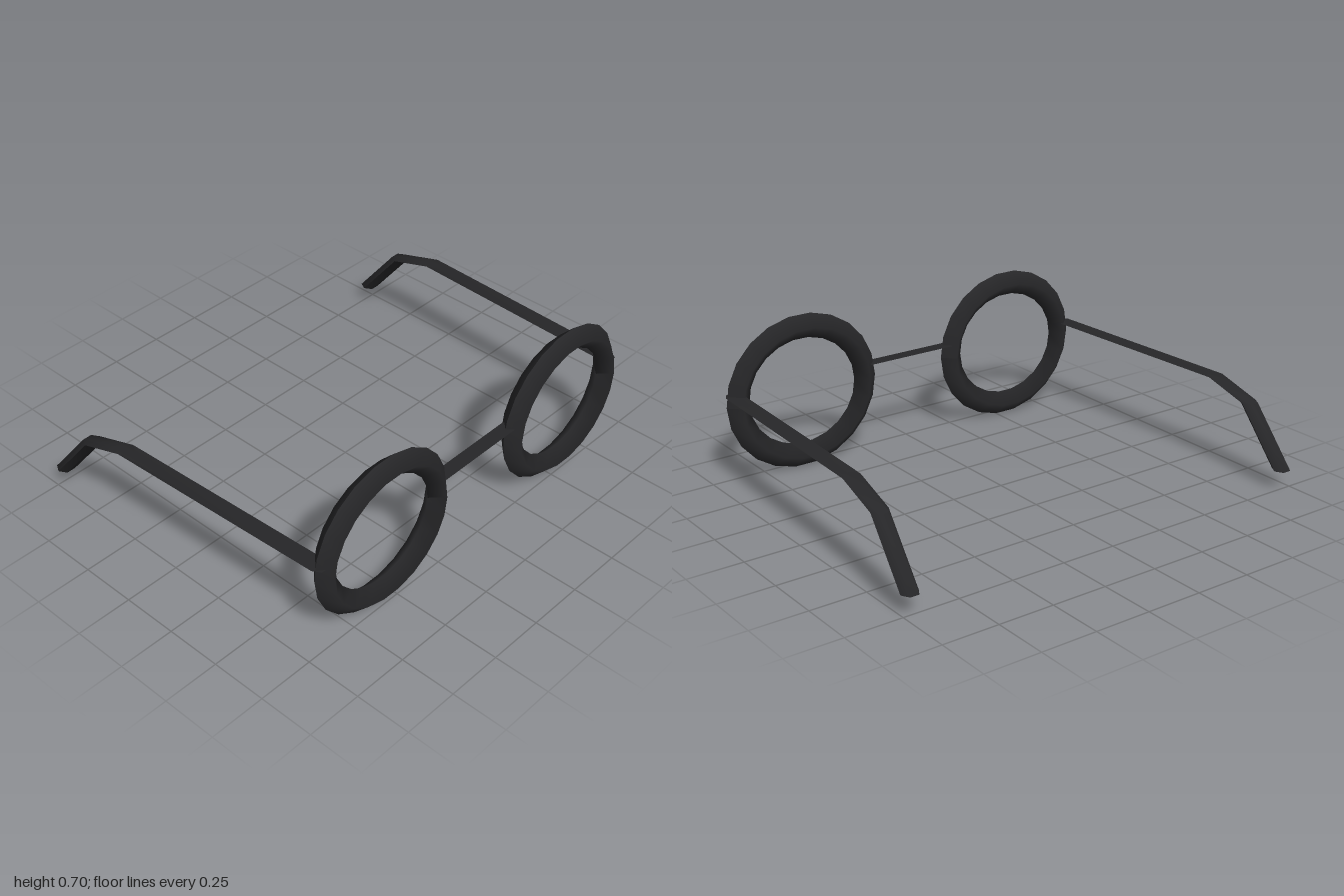
import * as THREE from 'three';
import { toCreasedNormals } from 'three/addons/utils/BufferGeometryUtils.js';

const rimMaterial = new THREE.MeshStandardMaterial({ color: 0x262628 });
const ribbonMaterial = new THREE.MeshStandardMaterial({ color: 0x262628, side: THREE.DoubleSide });

// Slightly wide ring with a diamond cross-section, creased along its outer edge
function rimGeometry() {
  const geo = new THREE.TorusGeometry(0.2985, 0.055, 4, 22);
  const pos = geo.attributes.position;
  for (let i = 0; i < pos.count; i++) {
    const x = pos.getX(i), y = pos.getY(i);
    pos.setX(i, x + 0.021 * Math.cos(Math.atan2(y, x)));
  }
  geo.computeVertexNormals();
  return geo;
}

// Sweeps a level hexagon along a path without turning it, so level runs are flat ribbons
function sweptHexagon(path, radius) {
  const sides = 6, verts = [], index = [];
  for (const [x, y, z] of path) {
    for (let j = 0; j < sides; j++) {
      const a = (j / sides) * Math.PI * 2;
      verts.push(x + radius * Math.cos(a), y, z + radius * Math.sin(a));
    }
  }
  for (let i = 0; i < path.length - 1; i++) {
    for (let j = 0; j < sides; j++) {
      const a = i * sides + j, b = i * sides + (j + 1) % sides;
      index.push(a, b, a + sides, b, b + sides, a + sides);
    }
  }
  // End caps
  const last = (path.length - 1) * sides;
  for (let j = 1; j < sides - 1; j++) {
    index.push(0, j + 1, j);
    index.push(last, last + j, last + j + 1);
  }
  const geo = new THREE.BufferGeometry();
  geo.setAttribute('position', new THREE.Float32BufferAttribute(verts, 3));
  geo.setIndex(index);
  return toCreasedNormals(geo, 1);
}

export function createModel() {
  const group = new THREE.Group();
  group.name = 'roundGlasses';
  const add = (name, geo, material) => {
    const mesh = new THREE.Mesh(geo, material);
    mesh.name = name;
    group.add(mesh);
    return mesh;
  };

  for (const [side, s] of [['left', 1], ['right', -1]]) {
    add(side + 'Rim', rimGeometry(), rimMaterial).position.set(s * 0.556, 0.35, 0.715);

    // Temple arm: level run, then bent down behind the ear
    add(side + 'Temple', sweptHexagon([
      [s * 0.896, 0.4, 0.706],
      [s * 0.943, 0.4, -0.325],
      [s * 0.951, 0.336, -0.53],
      [s * 0.96, 0.084, -0.735],
    ], 0.04), ribbonMaterial);
  }

  // Nose bridge
  add('bridge', sweptHexagon([[-0.2, 0.41, 0.71], [0.2, 0.41, 0.71]], 0.038), ribbonMaterial);

  return group;
}
